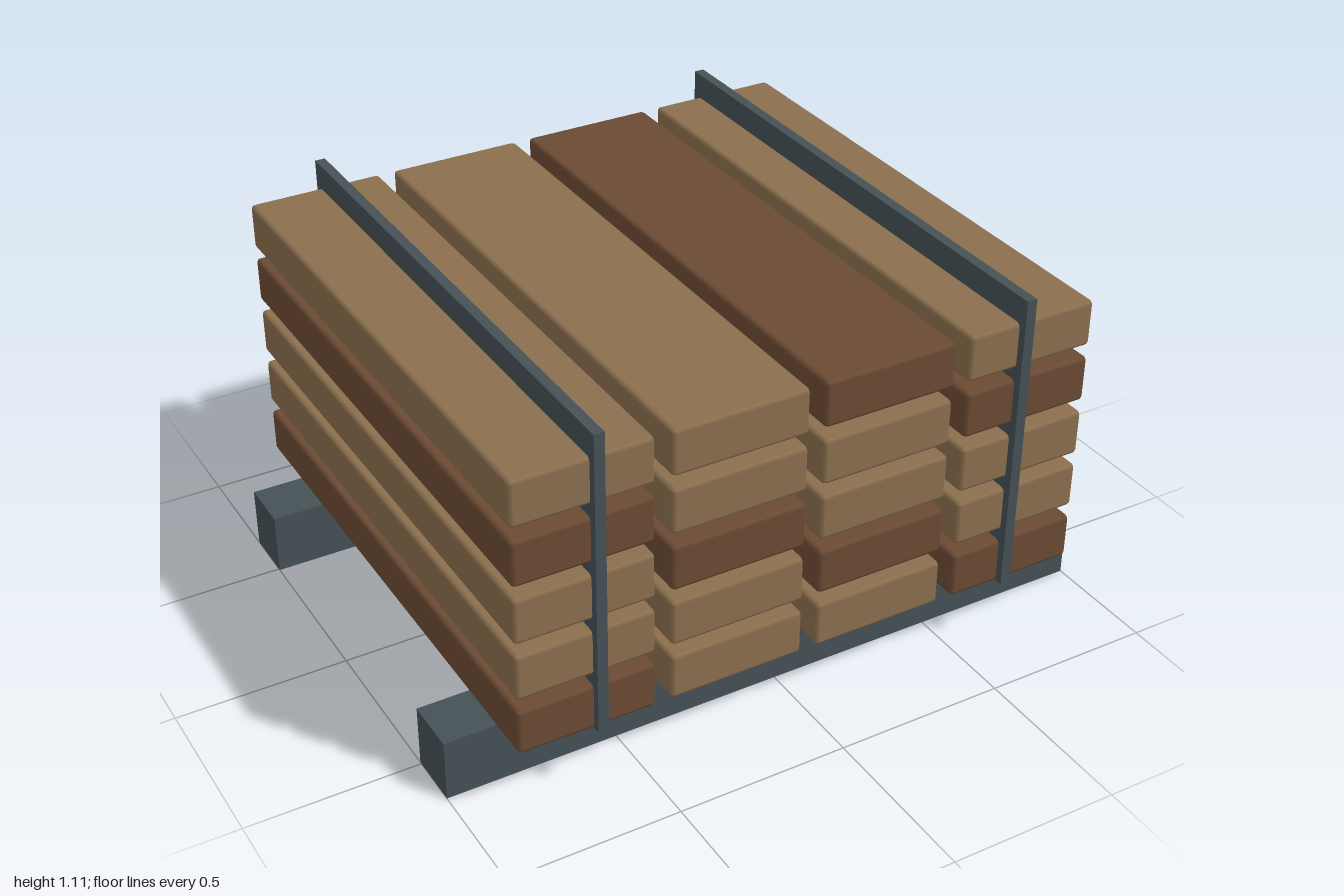
import * as THREE from 'three';
import { RoundedBoxGeometry } from 'three/addons/geometries/RoundedBoxGeometry.js';

export function createModel() {
  const group = new THREE.Group();
  const lightWood = new THREE.MeshStandardMaterial({ color: 0x8b6f4e });
  const darkWood = new THREE.MeshStandardMaterial({ color: 0x6b4a33 });
  const steel = new THREE.MeshStandardMaterial({ color: 0x455156 });

  const add = (name, geometry, material, x, y, z) => {
    const mesh = new THREE.Mesh(geometry, material);
    mesh.name = name;
    mesh.position.set(x, y, z);
    group.add(mesh);
  };

  // Two ground runners across the width
  const runner = new THREE.BoxGeometry(2, 0.182, 0.163);
  for (const s of [1, -1]) add(s > 0 ? 'frontRunner' : 'backRunner', runner, steel, 0, 0.091, s * 0.575);

  // Stacked planks: five layers of four, every third one dark
  const plank = new RoundedBoxGeometry(0.397, 0.136, 1.633, 1, 0.012);
  for (let row = 0; row < 5; row++) {
    for (let col = 0; col < 4; col++) {
      const material = (row * 4 + col) % 3 === 0 ? darkWood : lightWood;
      add(`plank${row + 1}_${col + 1}`, plank, material, (col - 1.5) * 0.4445, 0.274 + row * 0.1725, 0);
    }
  }

  // Thin upright strap plates running through the stack
  const strap = new THREE.BoxGeometry(0.03, 0.9, 1.68);
  for (const s of [1, -1]) add(s > 0 ? 'leftStrap' : 'rightStrap', strap, steel, s * 0.635, 0.658, 0);

  return group;
}
